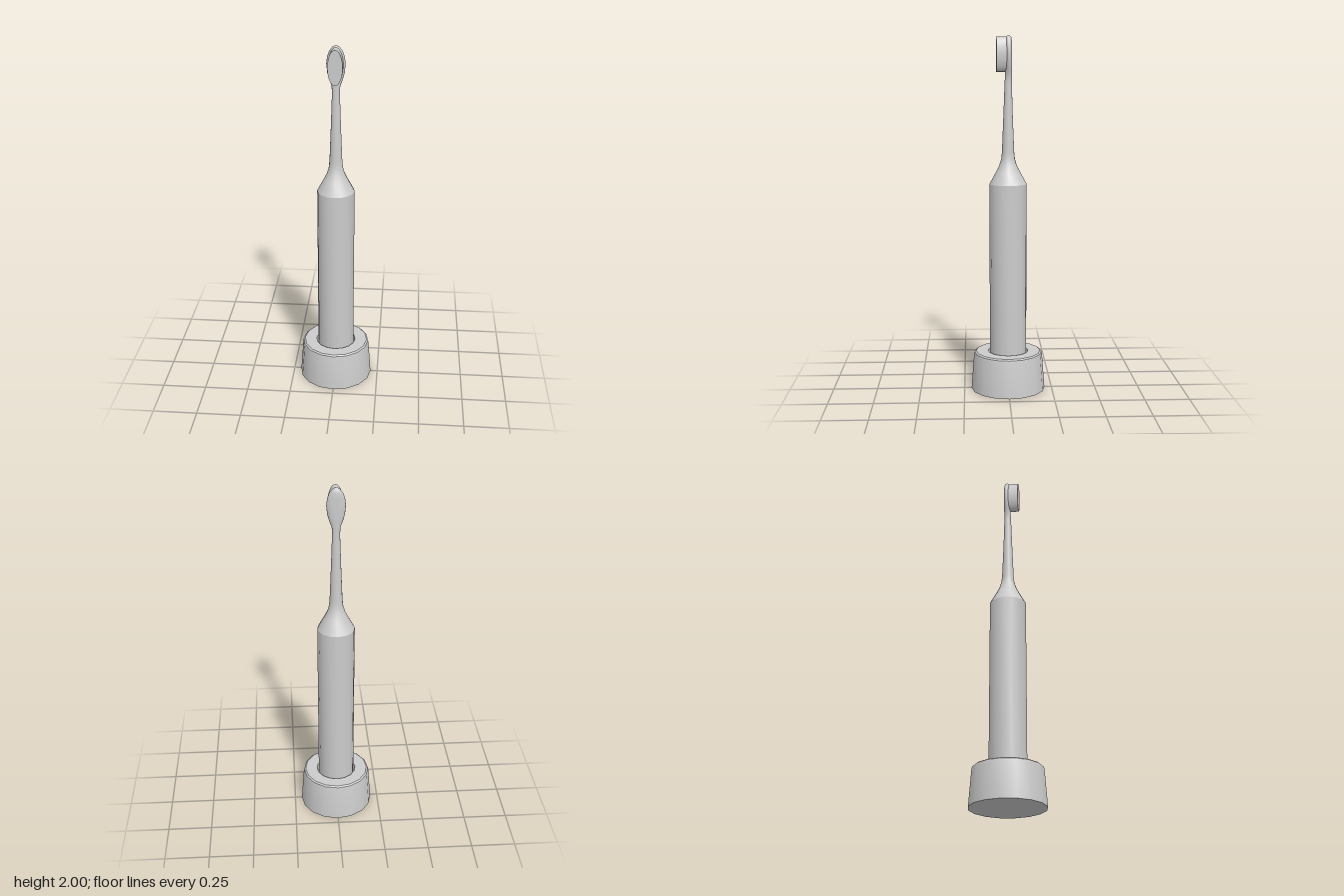
import * as THREE from 'three';
import { toCreasedNormals } from 'three/addons/utils/BufferGeometryUtils.js';

const SIDES = 16;
const material = new THREE.MeshStandardMaterial({ color: 0xcccccc });

function part(name, geometry) {
  const mesh = new THREE.Mesh(geometry, material);
  mesh.name = name;
  return mesh;
}

function lathe(profile) {
  const points = profile.map(([r, y]) => new THREE.Vector2(r, y));
  return toCreasedNormals(new THREE.LatheGeometry(points, SIDES), 0.6);
}

// Skin of stacked ellipses, each [y, half width, half depth, z centre]
function loft(sections) {
  const position = [], index = [];
  for (const [y, rx, rz, cz] of sections) {
    for (let i = 0; i < SIDES; i++) {
      const a = (i / SIDES) * Math.PI * 2;
      position.push(rx * Math.sin(a), y, cz + rz * Math.cos(a));
    }
  }
  for (let j = 0; j < sections.length - 1; j++) {
    for (let i = 0; i < SIDES; i++) {
      const a = j * SIDES + i, b = j * SIDES + (i + 1) % SIDES;
      index.push(a, b, a + SIDES, b, b + SIDES, a + SIDES);
    }
  }
  const geometry = new THREE.BufferGeometry();
  geometry.setAttribute('position', new THREE.Float32BufferAttribute(position, 3));
  geometry.setIndex(index);
  geometry.computeVertexNormals();
  return geometry;
}

export function createModel() {
  const group = new THREE.Group();

  // Tapered charging stand with a socket for the handle
  group.add(part('chargingStand', lathe([
    [0, 0], [0.21, 0], [0.195, 0.2], [0.192, 0.213], [0.183, 0.22],
    [0.114, 0.22], [0.114, 0.17], [0, 0.17],
  ])));

  // Straight cylindrical handle
  group.add(part('handle', lathe([[0, 0.171], [0.104, 0.171], [0.104, 1.18]])));

  // Shoulder, slim neck and flattened oval head in one skin
  group.add(part('neckAndHead', loft([
    [1.18, 0.104, 0.104, 0],
    [1.25, 0.066, 0.066, 0],
    [1.285, 0.049, 0.049, 0],
    [1.32, 0.039, 0.038, 0],
    [1.36, 0.035, 0.034, 0],
    [1.56, 0.027, 0.026, 0],
    [1.74, 0.021, 0.02, -0.001],
    [1.78, 0.023, 0.019, -0.002],
    [1.81, 0.034, 0.019, -0.003],
    [1.85, 0.046, 0.019, -0.003],
    [1.9, 0.051, 0.019, -0.003],
    [1.94, 0.046, 0.019, -0.003],
    [1.97, 0.035, 0.018, -0.003],
    [1.99, 0.019, 0.014, -0.003],
    [2.0, 0.0005, 0.0005, -0.003],
  ])));

  // Oval block of bristles on the front of the head
  const oval = new THREE.Shape();
  oval.absellipse(0, 0, 0.04, 0.095, 0, Math.PI * 2);
  const bristles = new THREE.ExtrudeGeometry(oval, {
    depth: 0.065, bevelEnabled: false, curveSegments: 20,
  });
  const brush = part('bristles', toCreasedNormals(bristles, 0.9));
  brush.position.y = 1.895;
  group.add(brush);

  return group;
}
